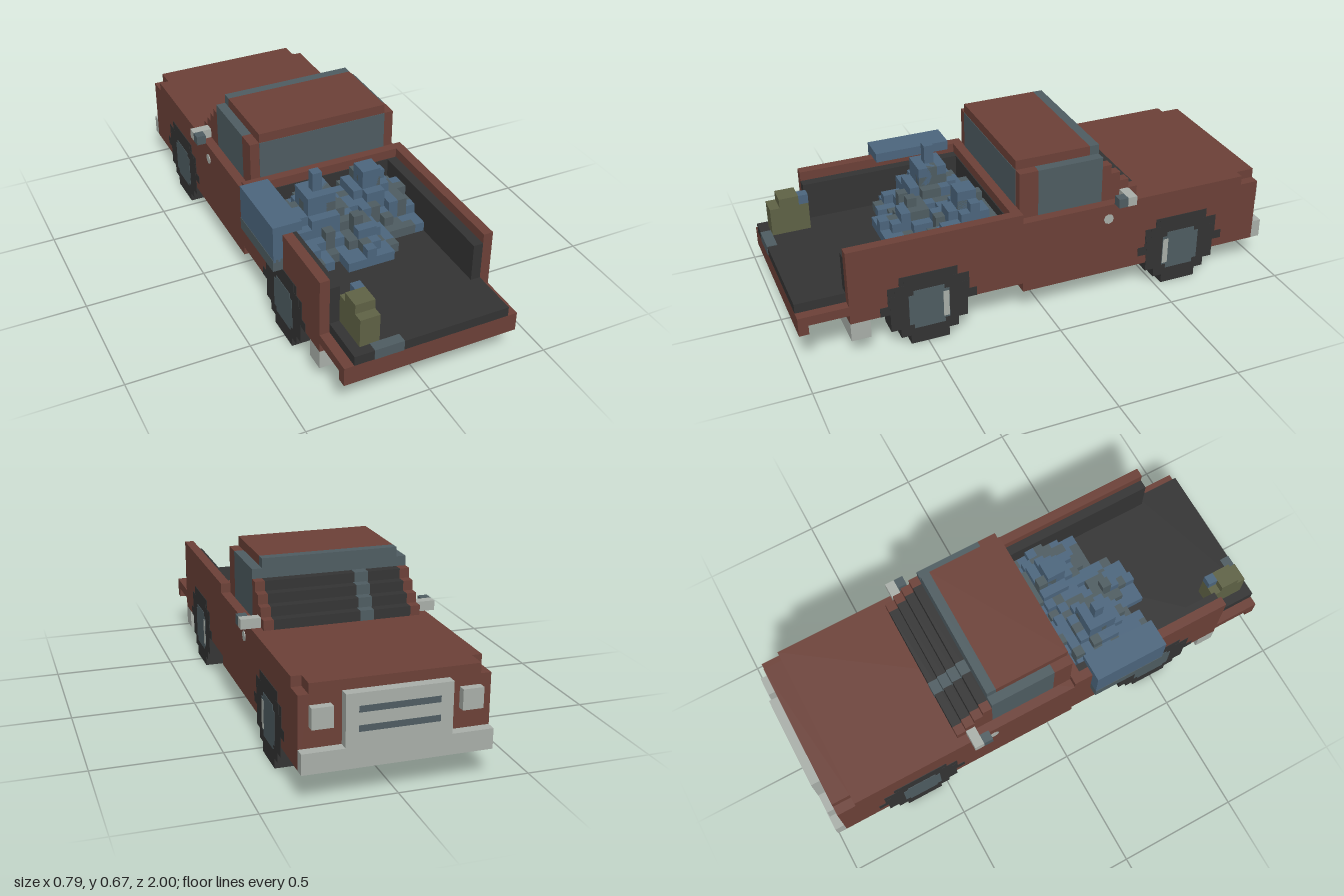
import * as THREE from 'three';
import { mergeGeometries } from 'three/addons/utils/BufferGeometryUtils.js';

const U = 2 / 51; // size of one block

function paint(name, color) {
  const m = new THREE.MeshStandardMaterial({ color });
  m.name = name;
  return m;
}

// Box geometry from its low and high corners, in blocks
function boxGeo(x0, x1, y0, y1, z0, z1) {
  return new THREE.BoxGeometry((x1 - x0) * U, (y1 - y0) * U, (z1 - z0) * U)
    .translate((x0 + x1) / 2 * U, (y0 + y1) / 2 * U, (z0 + z1) / 2 * U);
}

export function createModel() {
  const red = paint('rust red', 0x6d4138);
  const black = paint('black', 0x343434);
  const glass = paint('slate glass', 0x4f5d62);
  const blue = paint('blue', 0x4c667e);
  const olive = paint('olive', 0x606346);
  const light = paint('light grey', 0xaab0aa);

  const truck = new THREE.Group();
  truck.name = 'pickupTruck';

  function add(name, mat, geo, parent = truck) {
    const mesh = new THREE.Mesh(geo, mat);
    mesh.name = name;
    parent.add(mesh);
    return mesh;
  }
  const box = (name, mat, ...b) => add(name, mat, boxGeo(...b));
  // The same box on both sides, given for +x
  function pair(name, mat, x0, x1, ...yz) {
    box(name + 'Left', mat, x0, x1, ...yz);
    box(name + 'Right', mat, -x1, -x0, ...yz);
  }

  // Engine bay, hood and cab base
  box('hood', red, -9, 9, 3, 11, -22.5, 2.5);
  box('nose', red, -8, 8, 3, 11, -24.5, -22.5);
  pair('fenderTip', red, 8, 9, 3, 10, -24.5, -22.5);

  // Front bumper, grille and headlights
  box('frontBumper', light, -9, 9, 3, 5, -25.5, -24.5);
  box('grille', light, -5, 5, 5, 10, -25.5, -24.5);
  for (const y of [6.4, 8.2]) box('grilleSlot', glass, -3.8, 3.8, y, y + 0.6, -25.55, -25.45);
  pair('headlight', light, 6, 8, 7, 9, -25.3, -24.5);

  // Cab
  box('cabGlass', glass, -8, 8, 11, 16, -6.5, 0.5);
  box('cabBack', red, -8, 8, 11, 16, 0.5, 2.5);
  box('rearWindow', glass, -7, 7, 12, 16, 2.45, 2.55);
  box('roof', red, -7, 7, 16, 17, -5.5, 2.5);
  box('roofFrontGlass', glass, -7, 7, 16, 17, -6.5, -5.5);

  // Stepped windshield with pillars and a lighter streak
  for (let i = 0; i < 4; i++) {
    const top = 15 - i, z1 = -6.5 - i, z0 = z1 - 1;
    box('windshieldStep', black, -7, 7, 11, top, z0, z1);
    pair('pillar', red, 7, 8, 11, top, z0, z1);
    const x = -3.6 + i * 0.15;
    box('windshieldStreak', glass, x, x + 1.4, top - 1, top + 0.04, z0 - 0.04, z1);
  }

  // Mirrors and door handles
  pair('mirror', light, 8, 10, 11, 12, -9.5, -8.5);
  pair('mirrorGlass', glass, 9, 10, 11, 12, -8.5, -7.5);
  for (const s of [1, -1]) {
    const handle = add('doorHandle', light, new THREE.CylinderGeometry(0.55 * U, 0.55 * U, 0.1 * U, 8));
    handle.rotation.z = Math.PI / 2;
    handle.position.set(s * 9.03 * U, 9.4 * U, -6.9 * U);
  }

  // Cargo bed
  box('bedBase', red, -9, 9, 4, 6, 2.5, 20.5);
  box('bedFloor', black, -8, 8, 6, 7, 3.5, 20.5);
  box('bedFrontWall', red, -9, 9, 6, 12, 2.5, 3.5);
  box('bedFrontLiner', black, -8, 8, 7, 11, 3.5, 3.6);
  pair('bedWall', red, 8, 9, 6, 12, 3.5, 20.5);
  pair('bedLiner', black, 7, 8, 7, 11, 3.5, 20.5);

  // Lowered tailgate and rear bumper
  box('tailgate', red, -9, 9, 5, 6, 20.5, 25.5);
  box('tailgateLip', red, -9, 9, 4, 5, 24.5, 25.5);
  box('tailgateLiner', black, -8, 8, 6, 7, 20.5, 25.5);
  box('rearBumper', light, -9, 9, 2, 4, 18.5, 20.5);

  // Wheels as stacked rows: [y0, y1, half width]
  const tyreRows = [[0, 1, 2], [1, 2, 3], [2, 6, 4], [6, 7, 3.5], [7, 8, 2.5]];
  const archRows = [[4, 5, 5], [5, 7, 4.2], [7, 8, 3]];
  for (const [end, zc] of [['rear', 12.5], ['front', -15.5]]) {
    for (const s of [1, -1]) {
      const wheel = new THREE.Group();
      wheel.name = end + 'Wheel' + (s > 0 ? 'Left' : 'Right');
      truck.add(wheel);
      const rows = (list, inner, outer) => mergeGeometries(list.map(([y0, y1, h]) =>
        boxGeo(Math.min(s * inner, s * outer), Math.max(s * inner, s * outer), y0, y1, zc - h, zc + h)));
      add('tyre', black, rows(tyreRows, 7, 9.06), wheel);
      add('wheelArch', black, rows(archRows, 8, 9.04), wheel);
      add('hub', glass, rows([[1.8, 2.3, 1.6], [2.3, 5.7, 2.1], [5.7, 6.2, 1.6]], 8.9, 9.1), wheel);
      if (s > 0) {
        const zg = zc + (end === 'rear' ? -1.75 : 1.75);
        add('hubGlint', light, boxGeo(9, 9.13, 2.5, 5.4, zg - 0.3, zg + 0.3), wheel);
      }
    }
  }

  // Olive can and small items on the tailgate
  box('can', olive, -7, -5, 7, 10, 20.5, 24.5);
  box('canCap', olive, -7, -5, 10, 11, 21.5, 23.5);
  box('canSpout', blue, -6, -5, 10, 11, 20.5, 21.5);
  box('tailgateCloth', glass, -6, -3, 6, 7.08, 24.5, 25.56);

  // Blue cover draped over the right bed wall
  box('coverTop', blue, -10, -7, 12, 13, 4.5, 12.5);
  box('coverSide', blue, -10, -9, 9, 13, 4.5, 12.5);
  box('coverHem', glass, -10.04, -9, 8, 9.3, 4.5, 12.5);

  // Heap of blocks in the bed: three mounds with seeded unevenness
  let seed = 7;
  const rand = () => (seed = (seed * 16807) % 2147483647) / 2147483647;
  const mounds = [[-3.4, 7.8, 6.2, 1.05], [3.2, 6.2, 5.6, 0.95], [-0.3, 11, 3.4, 0.75]];
  const heap = { blue: [], slate: [] };
  for (let x = -7; x < 7; x++) {
    for (let z = 3.5; z < 14.5; z++) {
      const slope = Math.max(...mounds.map(([mx, mz, h, k]) =>
        h - k * Math.hypot(x + 0.5 - mx, z + 0.5 - mz)));
      const h = Math.min(6, Math.round(slope + rand() * 1.2 - 0.6));
      const isBlue = rand() < 0.62;
      if (h > 0) (isBlue ? heap.blue : heap.slate).push(boxGeo(x, x + 1, 7, 7 + h, z, z + 1));
    }
  }
  add('heapBlue', blue, mergeGeometries(heap.blue));
  add('heapSlate', glass, mergeGeometries(heap.slate));
  box('heapShoulder', blue, -5, -2, 11, 13, 6.5, 9.5);
  box('heapPost', blue, -4, -3, 12, 15, 7.5, 8.5);
  box('heapKnob', blue, 2, 4, 11, 13, 5.5, 7.5);

  return truck;
}
